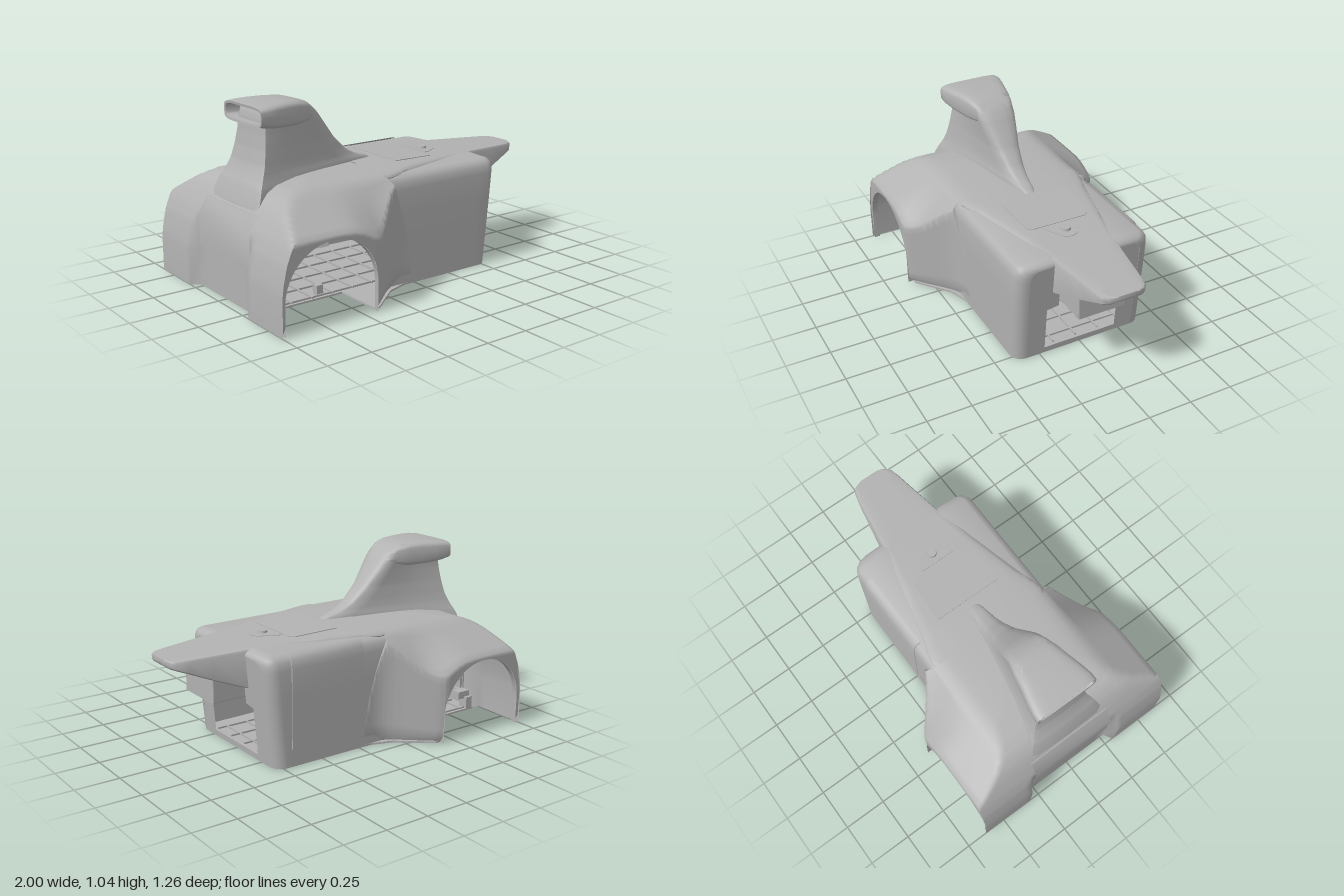
import * as THREE from 'three';
import { toCreasedNormals } from 'three/addons/utils/BufferGeometryUtils.js';

const grey = new THREE.MeshStandardMaterial({ color: 0xb2b2b2, side: THREE.DoubleSide });
grey.name = 'plain grey';

// Linear lookup in a list of [key, value, value...] rows.
function table(rows, k) {
  if (k <= rows[0][0]) return rows[0].slice(1);
  for (let i = 1; i < rows.length; i++) {
    const a = rows[i - 1], b = rows[i];
    if (k <= b[0]) return a.slice(1).map((v, j) => v + (b[j + 1] - v) * (k - a[0]) / (b[0] - a[0]));
  }
  return rows[rows.length - 1].slice(1);
}

// Skin over rows of [x, y, z] points.
function loft(rows, closed = false, crease = 0.7) {
  const n = rows[0].length, index = [];
  for (let i = 0; i + 1 < rows.length; i++) {
    for (let j = 0; j < (closed ? n : n - 1); j++) {
      const a = i * n + j, b = i * n + (j + 1) % n;
      index.push(a, b, a + n, b, b + n, a + n);
    }
  }
  const g = new THREE.BufferGeometry();
  g.setAttribute('position', new THREE.Float32BufferAttribute(rows.flat(2), 3));
  g.setIndex(index);
  return toCreasedNormals(g, crease);
}

// Mirrors a half section running from +z to the middle.
const mirror = half => [...half, ...half.slice(0, -1).reverse().map(([x, y, z]) => [x, y, -z])];
const span = (a, b, n) => Array.from({ length: n + 1 }, (_, i) => a + (b - a) * i / n);

export function createModel() {
  const model = new THREE.Group();
  const add = (name, geometry, parent = model) => {
    const m = new THREE.Mesh(geometry, grey);
    m.name = name;
    parent.add(m);
    return m;
  };
  const box = (name, x0, x1, y0, y1, z0, z1, parent) => {
    const m = add(name, new THREE.BoxGeometry(x1 - x0, y1 - y0, z1 - z0), parent);
    m.position.set((x0 + x1) / 2, (y0 + y1) / 2, (z0 + z1) / 2);
    return m;
  };

  // Wide rear shell with wheel arches and a recessed tail
  const width = [[-0.44, 0.63], [-0.42, 0.626], [-0.4, 0.615], [-0.38, 0.6], [-0.24, 0.482], [-0.2, 0.452],
    [-0.17, 0.434], [-0.14, 0.421], [-0.11, 0.413], [-0.08, 0.41]];
  const height = [[-1, 0.2], [-0.99, 0.27], [-0.97, 0.36], [-0.94, 0.435], [-0.9, 0.505], [-0.86, 0.56],
    [-0.81, 0.6], [-0.74, 0.625], [-0.6, 0.64], [-0.4, 0.648]];
  const arch = x => {
    const t = (x + 0.7) / 0.28;
    return Math.abs(t) > 1 ? 0 : 0.16 + 0.28 * Math.sqrt(1 - t * t);
  };
  const seam = y => -0.03 - 0.15 * (y / 0.62) ** 2;
  const shellRow = (x, flat) => {
    const [w] = table(width, x), [h] = table(height, x);
    const ys = 0.6 - (w - 0.41) * 0.636 - 0.08 * Math.exp(-(((x + 0.36) / 0.13) ** 2));
    const y0 = arch(x), half = [];
    const put = (y, z) => {
      const yy = flat ? 0 : Math.min(y, h);
      half.push([Math.min(Math.max(x, z < 0.285 ? -0.95 : -1), seam(yy)), yy, z]);
    };
    for (const t of span(0, 1, 10)) {
      const y = y0 + (ys - 0.015 - y0) * t;
      put(y, w - 0.012 * (1 - y / ys) - 0.025 * Math.max(0, 1 - y / 0.03) ** 2);
    }
    for (const t of span(0, 1, 7)) put(ys + (0.615 - ys) * t, w - 0.006 + (0.385 - w) * t);
    for (const [z, y] of [[0.34, 0.629], [0.305, 0.634], [0.275, 0.637], [0.2, 0.641], [0.1, 0.644], [0, 0.645]]) put(y, z);
    return mirror(half);
  };
  const stations = [-1, -0.995, -0.99, -0.9801,
    ...span(0, Math.PI, 40).map(a => -0.7 - 0.27999 * Math.cos(a)), -0.4199,
    ...span(-0.41, -0.03, 38)];
  add('rearShell', loft([shellRow(-1, true), ...stations.map(x => shellRow(x))], false, 1.15));

  // Inward lip around each wheel arch
  const archPath = [[-0.98, 0], ...span(0, Math.PI, 28).map(a =>
    [-0.7 - 0.28 * Math.cos(a), 0.16 + 0.28 * Math.sin(a)]), [-0.42, 0]];
  for (const s of [1, -1]) {
    add('wheelArchLip', loft([0.622, 0.59].map(z => archPath.map(([x, y]) => [x, y, s * z]))));
  }

  // Front pods: one rounded housing with a raked front
  const rake = (x, y) => x - 0.09 * (0.62 - y) * THREE.MathUtils.smoothstep(x, 0.2, 0.6);
  const podProfile = [[0.398, 0], [0.4, 0.2], [0.402, 0.4], [0.402, 0.54], [0.396, 0.58], [0.38, 0.605],
    [0.35, 0.618], [0.2, 0.624], [0, 0.625]];
  const podRow = (x, d) => mirror(podProfile.map(([z, y]) =>
    [rake(x, y), Math.max(0, y - d * 0.5 * y / 0.62), z * (1 - d / 0.4)]));
  const podRows = span(-0.22, 0.53, 12).map(x => podRow(x, 0));
  for (const a of span(0, Math.PI / 2, 8)) podRows.push(podRow(0.53 + 0.07 * Math.sin(a), 0.07 * (1 - Math.cos(a))));
  add('frontHousing', loft(podRows));

  // Front face with its stepped opening
  const end = podRows[podRows.length - 1];
  const face = new THREE.Shape(end.map(([, y, z]) => new THREE.Vector2(-z, y)));
  face.holes.push(new THREE.Path([[-0.22, 0.035], [0.22, 0.035], [0.22, 0.3], [0.15, 0.31], [0.15, 0.5],
    [-0.15, 0.5], [-0.15, 0.31], [-0.22, 0.3]].map(p => new THREE.Vector2(...p))));
  const faceGeometry = new THREE.ShapeGeometry(face).rotateY(Math.PI / 2);
  const fp = faceGeometry.attributes.position;
  for (let i = 0; i < fp.count; i++) fp.setX(i, rake(0.6, fp.getY(i)));
  faceGeometry.computeVertexNormals();
  add('frontFace', faceGeometry);

  // Side door, on the right-hand flank only, wrapping over the shoulder
  const doorRow = (x, out) => [[0.4, 0.1], [0.402, 0.4], [0.402, 0.54], [0.396, 0.582], [0.38, 0.608], [0.355, 0.619]]
    .map(([z, y], i) => [x, y + (i > 2 ? out : 0), -z - out]);
  add('sideDoor', loft([doorRow(-0.02, 0), doorRow(-0.018, 0.004), doorRow(0.448, 0.004), doorRow(0.45, 0)]));

  // Long tapering crowned bonnet with a wedge-shaped overhanging nose
  const bonnetTop = x => 0.646 - 0.04 * Math.max(0, x);
  const bonnet = [[-0.19, 0.375, 0.6], [-0.15, 0.378, 0.6], [-0.1, 0.366, 0.6], [-0.05, 0.35, 0.6], [0, 0.333, 0.6],
    [0.3, 0.26, 0.6], [0.53, 0.21, 0.59], [0.56, 0.2, 0.4], [0.6, 0.19, 0.41], [0.77, 0.163, 0.475], [0.9, 0.143, 0.53],
    [0.96, 0.128, 0.553], [0.985, 0.105, 0.563], [0.998, 0.07, 0.575]];
  const bonnetRows = bonnet.map(([x, w, low]) => {
    const t = bonnetTop(x), r = Math.min(0.016, (t - low) / 2), drop = z => 0.11 * Math.max(0, z - 0.2) ** 1.1;
    const e = t - drop(w);
    return mirror([[x, low, 0], [x, low, w - 0.02], [x, low + r * 0.5, w - 0.003], [x, e - r, w],
      [x, e - r * 0.3, w - 0.007], [x, t - drop(w - 0.03), w - 0.03], [x, t - drop(w * 0.8), w * 0.8], [x, t, w * 0.5], [x, t, 0]]);
  });
  bonnetRows.push(bonnetRows[bonnetRows.length - 1].map(() => [1, 0.59, 0]));
  add('bonnet', loft(bonnetRows));

  // Box hung below the nose
  const boxShape = new THREE.Shape([[0.54, 0.35], [0.764, 0.35], [0.764, 0.47], [0.75, 0.49], [0.54, 0.55]]
    .map(p => new THREE.Vector2(...p)));
  add('noseBox', new THREE.ExtrudeGeometry(boxShape, { depth: 0.274, bevelEnabled: true, bevelSize: 0.006,
    bevelThickness: 0.008, bevelSegments: 2 })).position.z = -0.137;

  // Bonnet lid, filler surround and cap
  const plate = (name, points, depth) => {
    const g = new THREE.ExtrudeGeometry(new THREE.Shape(points.map(p => new THREE.Vector2(...p))),
      { depth, bevelEnabled: false }).rotateX(-Math.PI / 2);
    const m = add(name, g);
    m.position.y = 0.645;
    m.rotation.z = -0.04;
    return m;
  };
  plate('bonnetLid', [[0.02, -0.205], [0.28, -0.185], [0.3, -0.16], [0.3, 0.16], [0.28, 0.185], [0.02, 0.205]], 0.004);
  plate('fillerSurround', [[0.31, -0.105], [0.34, -0.1], [0.43, -0.04], [0.445, 0], [0.43, 0.04], [0.34, 0.1], [0.31, 0.105]], 0.004);
  add('fillerCap', new THREE.CylinderGeometry(0.026, 0.032, 0.026, 24)).position.set(0.37, 0.634, 0);

  // Snorkel stem: rear edge, front edge and their half widths at each height
  const stem = [[0.48, -0.9, 0.02, 0.25, 0.02], [0.52, -0.893, 0.02, 0.25, 0.02], [0.57, -0.877, 0.02, 0.24, 0.02],
    [0.62, -0.858, 0.015, 0.222, 0.025], [0.65, -0.842, -0.03, 0.205, 0.035],
    [0.68, -0.828, -0.13, 0.193, 0.045], [0.72, -0.812, -0.2, 0.18, 0.055], [0.8, -0.795, -0.285, 0.162, 0.07],
    [0.88, -0.785, -0.35, 0.147, 0.09], [0.95, -0.78, -0.405, 0.14, 0.105], [0.99, -0.77, -0.445, 0.135, 0.11],
    [1.02, -0.75, -0.49, 0.125, 0.11], [1.035, -0.7, -0.54, 0.11, 0.1]];
  const stemRows = span(0.48, 1.035, 45).map(y => {
    const [xr, xf, wr, wf] = table(stem, y), side = t => [xr + (xf - xr) * t, y, wr + (wf - wr) * t ** 0.8];
    return mirror([[xr, y, 0], [xr + 0.003, y, wr * 0.8], [xr + 0.012, y, wr * 0.95], side(0.08), side(0.3),
      side(0.55), side(0.8), [xf - 0.025, y, wf], [xf - 0.008, y, wf * 0.75], [xf, y, wf * 0.35], [xf, y, 0]]);
  });
  stemRows.push(stemRows[stemRows.length - 1].map(() => [-0.62, 1.037, 0]));
  add('snorkelStem', loft(stemRows, false, 1.1));

  // Snorkel head with a hollow, rear-facing mouth, fading into the stem
  const ring = (x, w, low, top) => span(0, 2 * Math.PI, 32).slice(0, -1).map(a => {
    const c = Math.cos(a), s = Math.sin(a), p = 0.4;
    return [x, (low + top) / 2 + Math.sign(s) * Math.abs(s) ** p * (top - low) / 2, Math.sign(c) * Math.abs(c) ** p * w];
  });
  add('snorkelHead', loft([ring(-0.74, 0.001, 0.978, 0.98), ring(-0.74, 0.165, 0.94, 1.015), ring(-0.82, 0.175, 0.937, 1.015),
    ring(-0.822, 0.187, 0.924, 1.028), ring(-0.78, 0.187, 0.915, 1.034), ring(-0.72, 0.175, 0.905, 1.038),
    ring(-0.64, 0.155, 0.9, 1.04), ring(-0.56, 0.138, 0.9, 1.037), ring(-0.49, 0.118, 0.91, 1.02),
    ring(-0.45, 0.1, 0.92, 0.99)], true, 0.9));

  // Tail hatch lying on the recessed back
  const hatch = (x, y) => [-0.26, 0.26].map(z => [x, y, z]);
  add('tailHatch', loft([hatch(-0.951, 0.23), hatch(-0.957, 0.232), hatch(-0.957, 0.41), hatch(-0.906, 0.506), hatch(-0.9, 0.504)]));

  // Floor plate, cut in beside the wheels
  const floorHalf = [[0.54, 0.32], [0.52, 0.35], [0.46, 0.385], [-0.08, 0.4], [-0.2, 0.44], [-0.39, 0.59], [-0.42, 0.59],
    [-0.42, 0.3], [-0.94, 0.3]];
  const floor = new THREE.Shape([...floorHalf, ...floorHalf.slice().reverse().map(([x, z]) => [x, -z])]
    .map(p => new THREE.Vector2(...p)));
  add('floor', new THREE.ExtrudeGeometry(floor, { depth: 0.01, bevelEnabled: false }).rotateX(-Math.PI / 2));

  // Stiffening ribs on the floor and the inside of the tail
  const ribs = new THREE.Group();
  ribs.name = 'ribs';
  model.add(ribs);
  for (const x of span(-0.86, 0.44, 10)) box('floorCrossRib', x - 0.004, x + 0.004, 0.01, 0.02, -0.29, 0.29, ribs);
  for (const z of span(-0.28, 0.28, 4)) box('floorLongRib', -0.92, 0.5, 0.01, 0.02, z - 0.004, z + 0.004, ribs);
  box('tailLiner', -0.94, -0.93, 0.04, 0.34, -0.22, 0.22, ribs);
  for (const y of [0.06, 0.1, 0.19, 0.23, 0.28]) box('tailCrossRib', -0.93, -0.915, y - 0.004, y + 0.004, -0.22, 0.22, ribs);
  for (const z of [-0.21, -0.1, 0, 0.1, 0.21]) box('tailUprightRib', -0.93, -0.915, 0.05, 0.33, z - 0.004, z + 0.004, ribs);

  // Brackets and posts inside the wheel bays
  for (const s of [1, -1]) {
    box('tailBracket', -0.93, -0.845, 0.07, 0.115, s * 0.25 - 0.03, s * 0.25 + 0.03);
    box('tailPost', -0.935, -0.89, 0, 0.08, s * 0.27 - 0.03, s * 0.27 + 0.03);
    box('floorPost', -0.56, -0.52, 0.01, 0.065, s * 0.25 - 0.02, s * 0.25 + 0.02);
    const loop = add('tailHook', new THREE.TorusGeometry(0.035, 0.008, 8, 20));
    loop.position.set(-0.905, 0.2, s * 0.2);
  }
  return model;
}
